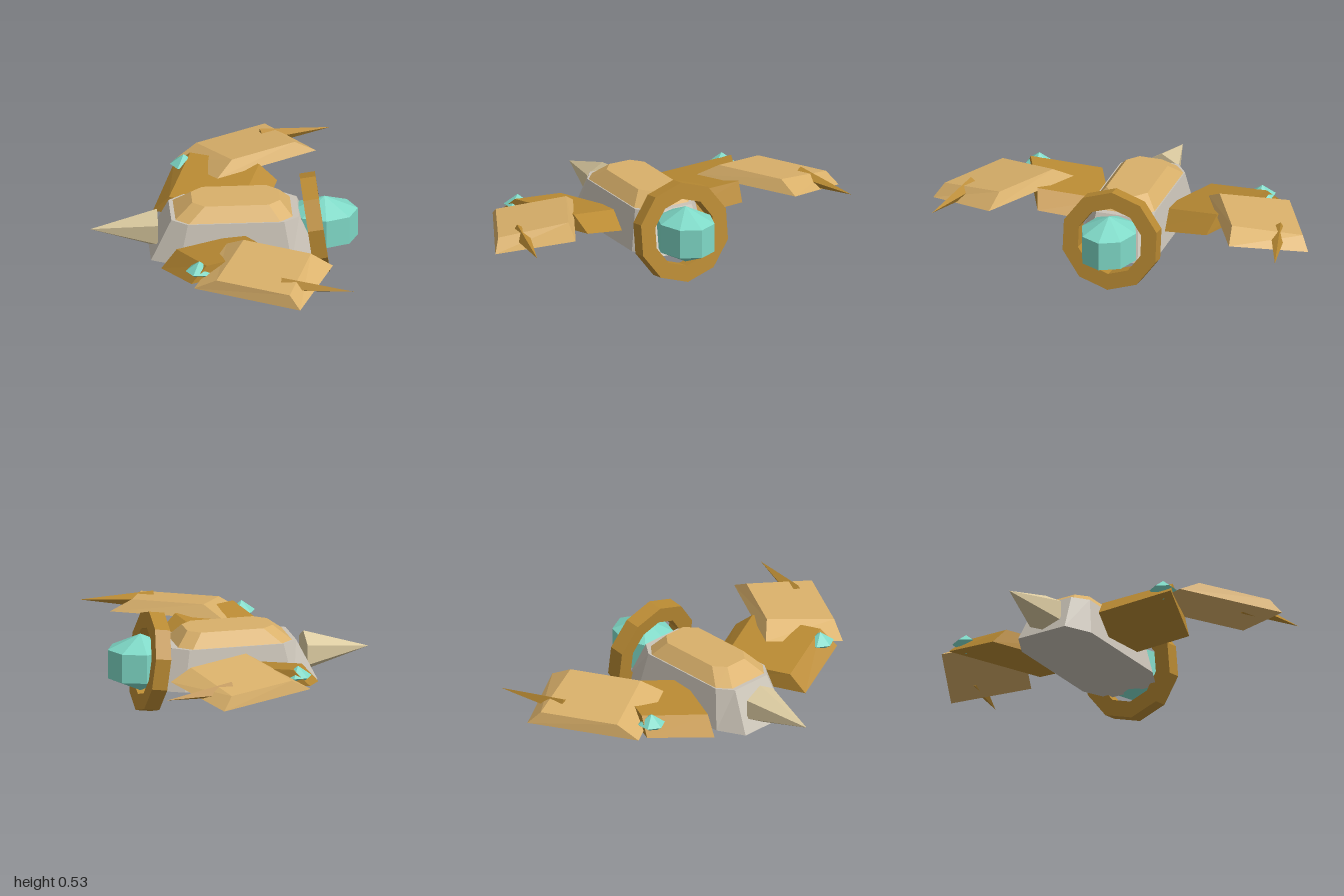
import * as THREE from 'three';

const mat = (name, color) => {
  const m = new THREE.MeshStandardMaterial({ color, flatShading: true });
  m.name = name;
  return m;
};

// Solid between two matching polygons, bottom and top, given as [x, y, z] corners
function loft(bottom, top) {
  const n = bottom.length;
  let area = 0;
  bottom.forEach((p, i) => {
    const q = bottom[(i + 1) % n];
    area += p[2] * q[0] - p[0] * q[2];
  });
  if (area < 0) {
    bottom = [...bottom].reverse();
    top = [...top].reverse();
  }
  const index = [];
  for (let i = 0; i < n; i++) {
    const j = (i + 1) % n;
    index.push(i, j, n + j, i, n + j, n + i);
    if (i > 0 && i < n - 1) index.push(n, n + i, n + i + 1, 0, i + 1, i);
  }
  const g = new THREE.BufferGeometry();
  g.setAttribute('position', new THREE.Float32BufferAttribute([...bottom, ...top].flat(), 3));
  g.setIndex(index);
  const flat = g.toNonIndexed();
  flat.computeVertexNormals();
  return flat;
}

// Rectangle with cut corners at height y
function octagon(y, x0, x1, z, cutX, cutZ) {
  return [
    [x0, y, z - cutZ], [x0 + cutX, y, z], [x1 - cutX, y, z], [x1, y, z - cutZ],
    [x1, y, cutZ - z], [x1 - cutX, y, -z], [x0 + cutX, y, -z], [x0, y, cutZ - z],
  ];
}

function decagon(r, Type) {
  const pts = [];
  for (let i = 0; i < 10; i++) {
    const a = Math.PI / 2 + (i * Math.PI) / 5;
    pts.push(new THREE.Vector2(r * Math.cos(a), r * Math.sin(a)));
  }
  return new Type(pts);
}

export function createModel() {
  const group = new THREE.Group();
  const lightGold = mat('light gold', 0xd9b06a);
  const darkGold = mat('dark gold', 0xb98a33);
  const grey = mat('warm grey', 0xcbc4b8);
  const cream = mat('cream', 0xdac99f);
  const teal = mat('teal', 0x7fd9c7);

  const add = (name, geometry, material, parent = group) => {
    const m = new THREE.Mesh(geometry, material);
    m.name = name;
    parent.add(m);
    return m;
  };

  // Hull and the plate on top of it
  add('hull', loft(octagon(0.15, -0.38, 0.47, 0.21, 0.14, 0.07),
    octagon(0.36, -0.275, 0.375, 0.172, 0.08, 0.06)), grey);
  add('topPlate', loft(octagon(0.355, -0.26, 0.345, 0.17, 0.065, 0.055),
    octagon(0.43, -0.165, 0.28, 0.11, 0.06, 0.05)), lightGold);

  // Nose cone
  const nose = new THREE.ConeGeometry(0.105, 0.34, 6).rotateY(Math.PI / 2).rotateZ(Math.PI / 2);
  add('noseCone', nose, cream).position.set(-0.51, 0.265, 0);

  // Tilted rear ring around the engine
  const shape = decagon(0.26, THREE.Shape);
  shape.holes.push(decagon(0.175, THREE.Path));
  const ringGeo = new THREE.ExtrudeGeometry(shape, { depth: 0.08, bevelEnabled: false });
  ringGeo.translate(0, 0, -0.04).rotateY(Math.PI / 2);
  const ring = add('rearRing', ringGeo, darkGold);
  ring.position.set(0.46, 0.264, 0);
  ring.rotation.z = 0.135;

  const engine = add('engineCrystal', new THREE.SphereGeometry(1, 8, 3), teal);
  engine.scale.set(0.196, 0.15, 0.166);
  engine.position.set(0.51, 0.265, 0);

  // Wings, mirrored across z
  for (const s of [1, -1]) {
    const wing = new THREE.Group();
    wing.name = s > 0 ? 'frontWing' : 'backWing';
    group.add(wing);
    const side = (pts) => pts.map(([x, y, z]) => [x, y, s * z]);

    add('innerWing', loft(
      side([[-0.34, 0.195, 0.32], [0.17, 0.195, 0.1], [0.3, 0.28, 0.45], [-0.21, 0.28, 0.67]]),
      side([[-0.26, 0.285, 0.29], [0.08, 0.285, 0.14], [0.21, 0.36, 0.48], [-0.13, 0.36, 0.63]]),
    ), darkGold, wing);

    add('outerWing', loft(
      side([[-0.01, 0.345, 0.36], [0.51, 0.345, 0.64], [0.32, 0.28, 1], [-0.2, 0.28, 0.72]]),
      side([[0.07, 0.407, 0.445], [0.4, 0.407, 0.62], [0.27, 0.345, 0.955], [-0.09, 0.345, 0.765]]),
    ), lightGold, wing);

    // Wing tip spike
    const base = new THREE.Vector3(0.24, 0.338, s * 0.815);
    const tip = new THREE.Vector3(0.6, 0.334, s * 0.915);
    const dir = tip.clone().sub(base);
    const spike = add('wingSpike', new THREE.ConeGeometry(0.045, dir.length(), 4), darkGold, wing);
    spike.position.copy(base).add(tip).multiplyScalar(0.5);
    spike.quaternion.setFromUnitVectors(new THREE.Vector3(0, 1, 0), dir.normalize());

    // Gem on the wing joint
    const gem = add('wingGem', new THREE.SphereGeometry(0.07, 6, 2), teal, wing);
    gem.scale.y = 0.75;
    gem.position.set(-0.165, 0.317, s * 0.595);
  }
  return group;
}
